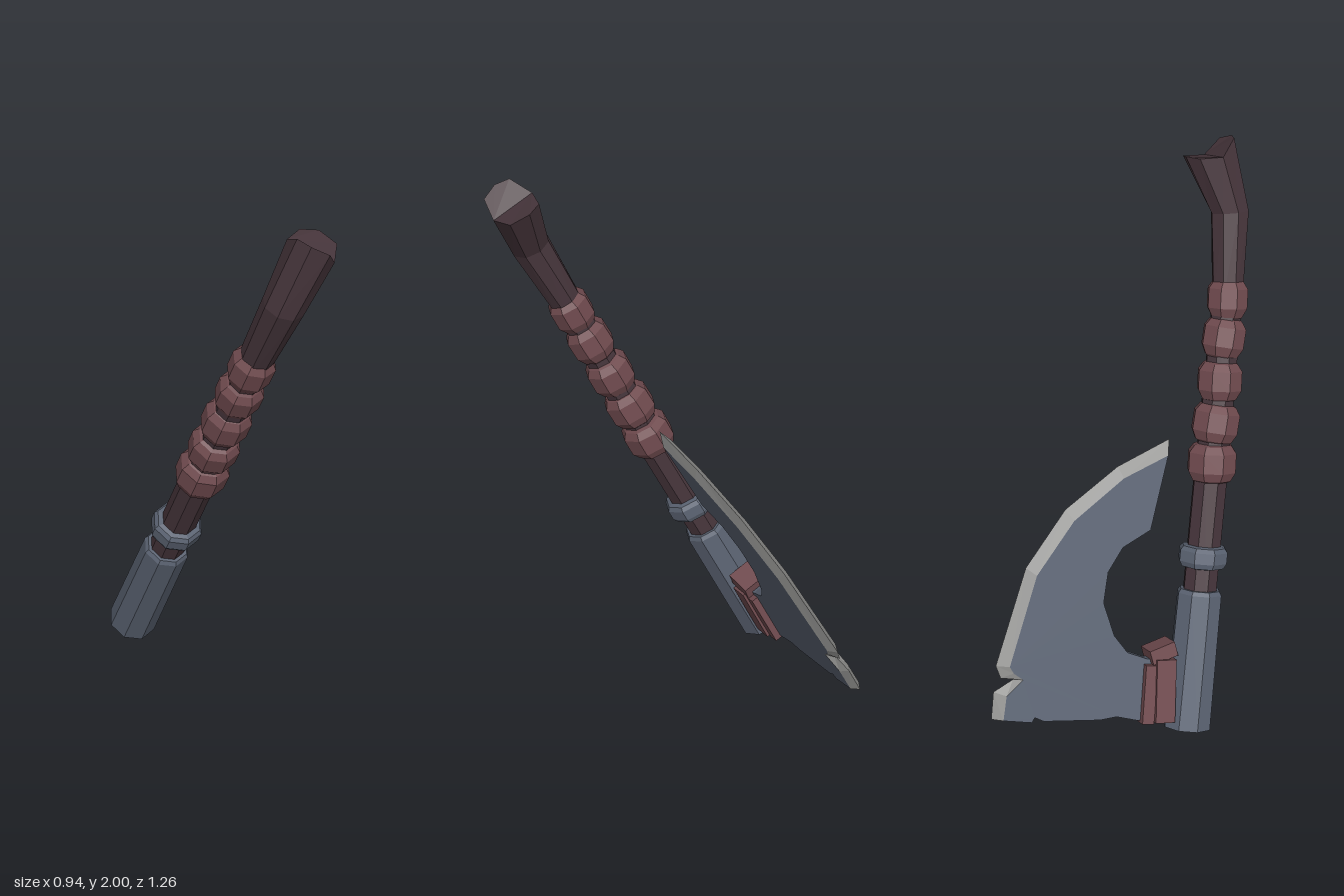
import * as THREE from 'three';

const mat = (name, color) => Object.assign(new THREE.MeshStandardMaterial({ color, flatShading: true }), { name });
const steel = mat('slate steel', 0x5a6271);
const edgeSteel = mat('bare edge steel', 0x8c8c8a);
const wood = mat('dark wood', 0x45343a);
const leather = mat('red leather', 0x6f4a4e);

const V3 = (x, y, z) => new THREE.Vector3(x, y, z);
const SIDES = 8;

function add(parent, name, geometry, material) {
  const mesh = new THREE.Mesh(geometry, material);
  mesh.name = name;
  parent.add(mesh);
  return mesh;
}

// Eight-sided turned part; the profile is [radius, height] from bottom to top
function turned(profile) {
  return new THREE.LatheGeometry(profile.map(([r, h]) => new THREE.Vector2(r, h)), SIDES);
}

function fromTriangles(tris) {
  const geometry = new THREE.BufferGeometry().setFromPoints(tris);
  geometry.computeVertexNormals();
  return geometry;
}

// The straight shaft starts at BASE and leans along AXIS
const BASE = V3(-0.39, 0.04, 0.1);
const AXIS = V3(0.407, 1, 0.283).normalize();

function ring(center, axis, radius) {
  const u = V3(1, 0, 0).addScaledVector(axis, -axis.x).normalize();
  const v = u.clone().cross(axis);
  return Array.from({ length: SIDES }, (_, i) => {
    const a = (i / SIDES) * Math.PI * 2;
    return center.clone().addScaledVector(u, radius * Math.cos(a)).addScaledVector(v, radius * Math.sin(a));
  });
}

// Bent, flaring butt of the handle with a folded end face
function buttGeometry() {
  const end = [
    [0.465, 1.9, 0.53], [0.465, 1.955, 0.59], [0.41, 1.985, 0.61], [0.36, 2.0, 0.595],
    [0.31, 1.96, 0.53], [0.33, 1.96, 0.45], [0.385, 1.95, 0.42], [0.45, 1.92, 0.44],
  ].map((p) => V3(...p));
  const rings = [
    ring(BASE.clone().addScaledVector(AXIS, 1.58), AXIS, 0.056),
    ring(V3(0.31, 1.74, 0.562), V3(0.38, 1, 0.08).normalize(), 0.071),
    end,
  ];
  const tris = [];
  for (let r = 0; r < 2; r++) {
    for (let i = 0; i < SIDES; i++) {
      const j = (i + 1) % SIDES;
      const [a, b, c, d] = [rings[r][i], rings[r][j], rings[r + 1][i], rings[r + 1][j]];
      tris.push(a, c, b, b, c, d);
    }
  }
  for (const start of [0, 4]) {
    for (let k = 1; k < 4; k++) tris.push(end[start], end[(start + k + 1) % SIDES], end[start + k]);
  }
  return fromTriangles(tris);
}

// Blade outline as [z, y]: cutting edge, its bevel line, and the remaining body
const T = 0.04;
const EDGE = [[0.2, 1.04], [-0.01, 0.99], [-0.23, 0.89], [-0.41, 0.73], [-0.58, 0.43],
  [-0.57, 0.385], [-0.525, 0.37], [-0.605, 0.345], [-0.63, 0.255]];
const BEVEL = [[0.18, 0.99], [0, 0.95], [-0.21, 0.85], [-0.38, 0.7], [-0.535, 0.42],
  [-0.525, 0.395], [-0.495, 0.365], [-0.565, 0.325], [-0.592, 0.245]];
const BODY = [[-0.49, 0.212], [-0.475, 0.226], [-0.445, 0.205], [-0.235, 0.155], [-0.17, 0.15], [-0.09, 0.115],
  [0.06, 0.1], [0.06, 0.3], [-0.02, 0.32], [-0.09, 0.36], [-0.13, 0.43], [-0.15, 0.55],
  [-0.115, 0.65], [-0.045, 0.72], [0.07, 0.755]];

function edgeGeometry() {
  const top = BEVEL.map(([z, y]) => V3(z, y, T / 2));
  const low = BEVEL.map(([z, y]) => V3(z, y, -T / 2));
  const out = EDGE.map(([z, y]) => V3(z, y, 0));
  const n = out.length - 1;
  const tris = [top[0], low[0], out[0], top[n], out[n], low[n]];
  for (let i = 0; i < n; i++) {
    tris.push(top[i], out[i], top[i + 1], top[i + 1], out[i], out[i + 1]);
    tris.push(low[i], low[i + 1], out[i], low[i + 1], out[i + 1], out[i]);
  }
  return fromTriangles(tris);
}

export function createModel() {
  const model = new THREE.Group();
  model.name = 'battleAxe';

  // Handle, built upright and then leaned
  const handle = new THREE.Group();
  handle.name = 'handle';
  handle.position.copy(BASE);
  handle.quaternion.setFromUnitVectors(V3(0, 1, 0), AXIS);
  model.add(handle);
  add(handle, 'shaft', turned([[0, 0.45], [0.064, 0.45], [0.064, 0.95], [0.056, 1.62], [0, 1.62]]), wood);
  add(handle, 'sleeve', turned([[0, 0], [0.09, 0], [0.085, 0.505], [0.076, 0.52], [0, 0.52]]), steel);
  add(handle, 'collar', turned([[0.062, 0.6], [0.082, 0.605], [0.093, 0.625], [0.093, 0.665], [0.082, 0.68], [0.062, 0.685]]), steel);

  // Bulging leather grip wraps, each tipped a little
  [0.993, 1.138, 1.292, 1.448, 1.588].forEach((s, i) => {
    const r = 0.092 - i * 0.004;
    const wrap = add(handle, 'gripWrap', turned([[0.05, -0.078], [r - 0.018, -0.068], [r, -0.035],
      [r, 0.035], [r - 0.018, 0.06], [0.05, 0.07]]), leather);
    wrap.position.y = s;
    wrap.rotation.x = i % 2 ? 0.07 : -0.05;
  });

  add(model, 'butt', buttGeometry(), wood);

  // Head: local x runs along z, local y climbs with the shaft, local z is thickness
  const head = new THREE.Group();
  head.name = 'head';
  const across = V3(-1, 0.407, 0).normalize();
  head.applyMatrix4(new THREE.Matrix4().makeBasis(V3(0, 0, 1), V3(0.407, 1, 0), across).setPosition(-0.407, 0, 0));
  model.add(head);

  const outline = new THREE.Shape([...BEVEL, ...BODY].map(([z, y]) => new THREE.Vector2(z, y)));
  const body = new THREE.ExtrudeGeometry(outline, { depth: T, bevelEnabled: false });
  add(head, 'blade', body.translate(0, 0, -T / 2), steel);
  add(head, 'cuttingEdge', edgeGeometry(), edgeSteel);

  // Leather bindings that hold the blade to the sleeve: [z, y, depth, length, width, tilt]
  [
    [0.022, 0.2, 0.075, 0.22, 0.11, -0.2],
    [-0.038, 0.2, 0.045, 0.205, 0.09, -0.25],
    [0.04, 0.33, 0.1, 0.05, 0.09, 0.12],
  ].forEach(([z, y, depth, length, width, tilt]) => {
    const strap = add(head, 'binding', new THREE.BoxGeometry(depth, length, width), leather);
    strap.position.set(z, y, 0);
    strap.rotation.z = tilt;
  });

  return model;
}
